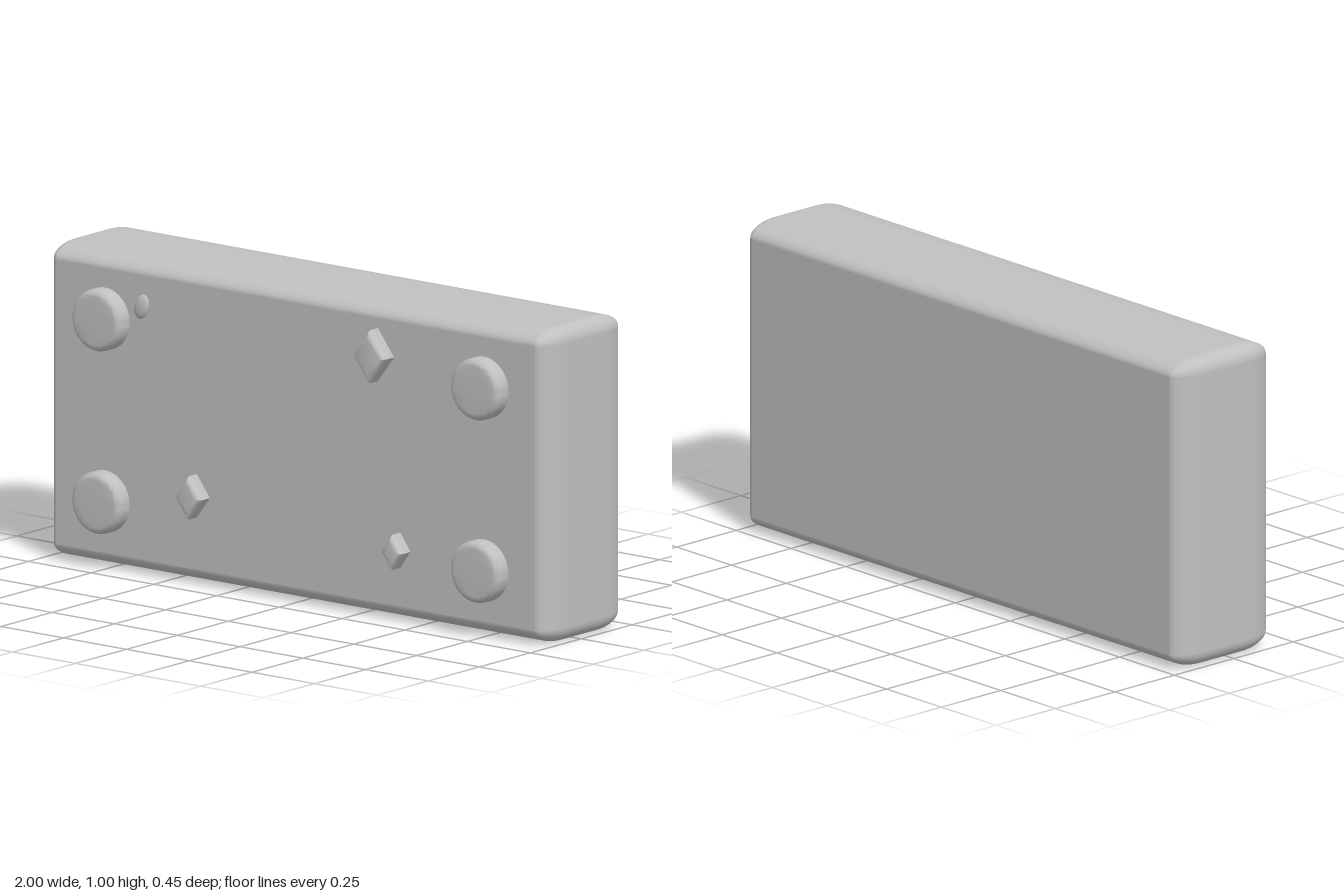
import * as THREE from 'three';
import { toCreasedNormals } from 'three/addons/utils/BufferGeometryUtils.js';
import { RoundedBoxGeometry } from 'three/addons/geometries/RoundedBoxGeometry.js';

const grey = new THREE.MeshStandardMaterial({ color: 0xc0c0c0 });
grey.name = 'light grey';

const FACE = 0.172; // front face of the slab
const TOP = 0.226; // front of the raised studs

// Raised stud with a rounded front edge, sunk a little into the slab
function stud(name, shape, x, y, bevel) {
  const back = FACE - 0.03;
  const geometry = new THREE.ExtrudeGeometry(shape, {
    depth: TOP - back - 2 * bevel,
    bevelThickness: bevel,
    bevelSize: bevel,
    bevelOffset: -bevel,
    bevelSegments: 6,
    curveSegments: 32,
  });
  const mesh = new THREE.Mesh(toCreasedNormals(geometry, 0.7), grey);
  mesh.name = name;
  mesh.position.set(x, y, back + bevel);
  return mesh;
}

function diamondShape(w, h) {
  return new THREE.Shape([
    new THREE.Vector2(w, 0),
    new THREE.Vector2(0, h),
    new THREE.Vector2(-w, 0),
    new THREE.Vector2(0, -h),
  ]);
}

export function createModel() {
  const group = new THREE.Group();
  group.name = 'studdedSlab';

  // Slab: the rounding is stretched along z so the rim curves gently
  const stretch = 2.3;
  const slabGeometry = new RoundedBoxGeometry(2, 1, 0.4 / stretch, 8, 0.05);
  slabGeometry.scale(1, 1, stretch);
  const slab = new THREE.Mesh(slabGeometry, grey);
  slab.name = 'slab';
  slab.position.set(0, 0.5, FACE - 0.2);
  group.add(slab);

  // Round studs in the four corners
  const disc = new THREE.Shape().absarc(0, 0, 0.098, 0, Math.PI * 2);
  for (const x of [-0.758, 0.752]) {
    for (const y of [0.213, 0.793]) group.add(stud('roundStud', disc, x, y, 0.022));
  }

  // Diamond studs: x, y, half width, half height
  for (const [x, y, w, h] of [
    [0.33, 0.836, 0.064, 0.084],
    [-0.392, 0.283, 0.052, 0.069],
    [0.419, 0.228, 0.041, 0.056],
  ]) group.add(stud('diamondStud', diamondShape(w, h), x, y, 0.018));

  // Small tilted bead beside the upper round stud
  const bead = new THREE.Mesh(new THREE.SphereGeometry(1, 24, 16), grey);
  bead.name = 'bead';
  bead.scale.set(0.027, 0.041, 0.014);
  bead.rotation.z = -0.35;
  bead.position.set(-0.611, 0.851, FACE);
  group.add(bead);

  return group;
}
